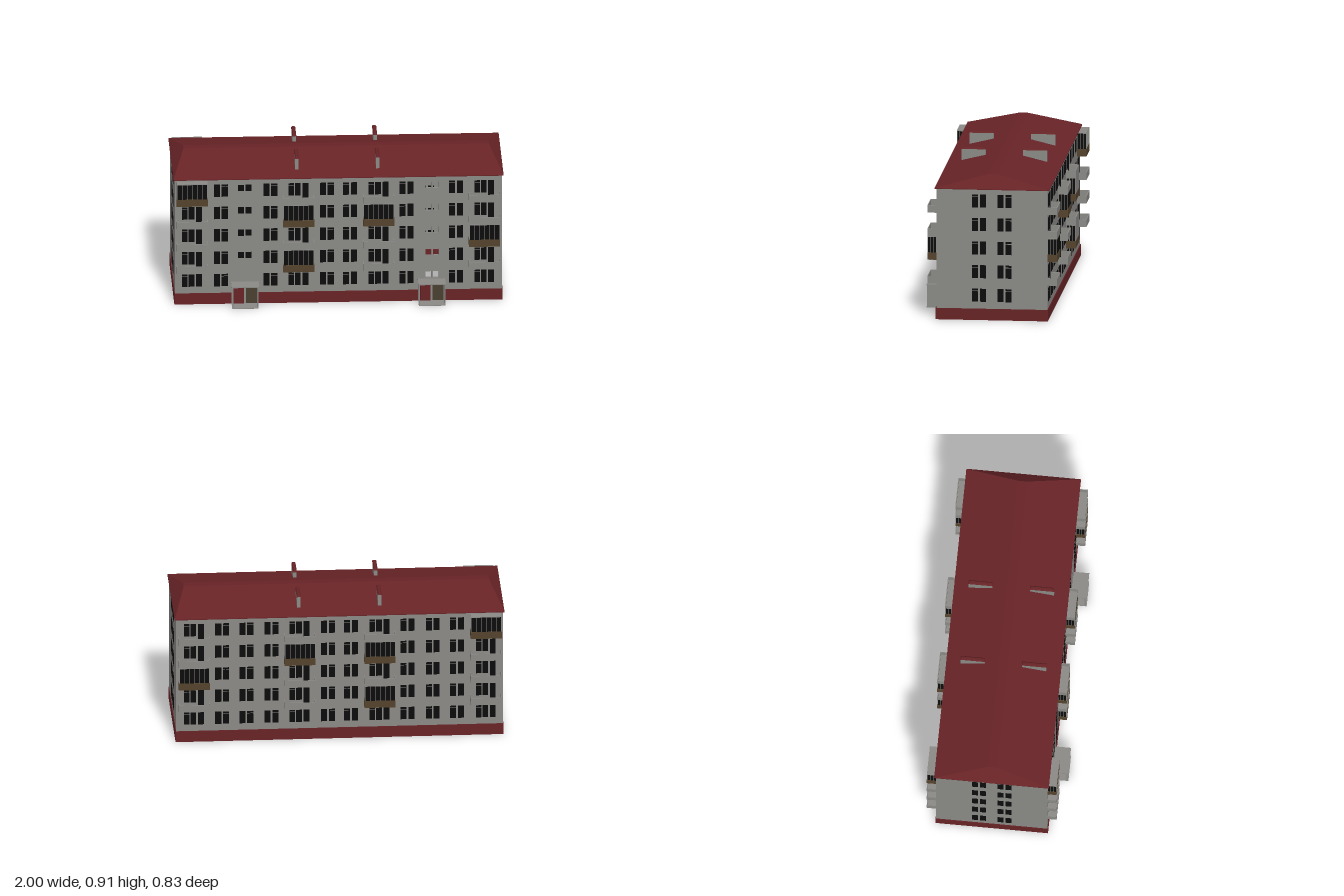
import * as THREE from 'three';

const mat = (name, color) => Object.assign(new THREE.MeshStandardMaterial({ color }), { name });
const M = {
  wall: mat('wall grey', 0x8a8986),
  red: mat('roof red', 0x672326),
  glass: mat('dark glass', 0x0c0c0c),
  brown: mat('balcony brown', 0x54432c),
  door: mat('door brown', 0x4a3f31),
};

const T = 0.012; // wall thickness
const FLOOR = 0.1455; // storey height
const Z_FRONT = 0.315, Z_BACK = -0.36, Z_MID = (Z_FRONT + Z_BACK) / 2;
const X_WALL = 0.99;

// Box given by its extents on each axis
function box(parent, name, material, [x0, x1], [y0, y1], [z0, z1]) {
  const m = new THREE.Mesh(new THREE.BoxGeometry(x1 - x0, y1 - y0, z1 - z0), material);
  m.position.set((x0 + x1) / 2, (y0 + y1) / 2, (z0 + z1) / 2);
  m.name = name;
  parent.add(m);
  return m;
}

// Move the top corners of a box inwards to the given extents
function taper(mesh, [x0, x1], [z0, z1]) {
  const p = mesh.geometry.attributes.position;
  for (let i = 0; i < p.count; i++) {
    if (p.getY(i) < 0) continue;
    p.setX(i, (p.getX(i) > 0 ? x1 : x0) - mesh.position.x);
    p.setZ(i, (p.getZ(i) > 0 ? z1 : z0) - mesh.position.z);
  }
  mesh.geometry.computeVertexNormals();
}

// Wall sheet facing local +z, outer face at z = 0, with rectangular holes
function wall(parent, half, holes = []) {
  const rect = (S, x0, x1, y0, y1) => {
    const s = new S();
    s.moveTo(x0, y0).lineTo(x1, y0).lineTo(x1, y1).lineTo(x0, y1).closePath();
    return s;
  };
  const shape = rect(THREE.Shape, -half, half, 0.06, 0.81);
  for (const h of holes) shape.holes.push(rect(THREE.Path, ...h));
  const m = new THREE.Mesh(new THREE.ExtrudeGeometry(shape, { depth: T, bevelEnabled: false }), M.wall);
  m.position.z = -T;
  m.name = 'wall';
  parent.add(m);
}

// One glass pane showing on both faces of the wall
const pane = (g, x0, x1, y0, y1) => box(g, 'windowPane', M.glass, [x0, x1], [y0, y1], [-T - 0.002, 0.002]);

// Two-pane window; the pane on the given side has a transom
function pairWindow(g, x, y, side) {
  for (const s of [-1, 1]) {
    const a = x + s * 0.0235 - 0.0185, b = a + 0.037;
    if (s === side) {
      pane(g, a, b, y, y + 0.064);
      pane(g, a, b, y + 0.068, y + 0.08);
    } else pane(g, a, b, y, y + 0.08);
  }
}

// Balcony window: pair of panes plus a door
function balconyWindow(g, x, y, hasDoor) {
  pane(g, x - 0.06, x - 0.027, y, y + 0.064);
  pane(g, x - 0.06, x - 0.027, y + 0.068, y + 0.08);
  pane(g, x - 0.021, x + 0.014, y, y + 0.08);
  pane(g, x + 0.024, x + 0.06, hasDoor ? y - 0.033 : y, y + 0.08);
}

function balcony(parent, x, k, depth, glazed) {
  const g = new THREE.Group();
  g.name = glazed ? 'glazedBalcony' : 'openBalcony';
  g.position.set(x, 0.217 + FLOOR * k, 0);
  parent.add(g);
  const w = 0.0925, t = 0.004, h = 0.046, panel = glazed ? M.brown : M.wall;
  box(g, 'slab', M.wall, [-w, w], [0, 0.006], [0, depth]);
  box(g, 'frontPanel', panel, [-w, w], [0.001, h], [depth - t, depth + 0.001]);
  for (const s of [-1, 1]) {
    const e = s * w;
    box(g, 'sidePanel', panel, [e - t / 2, e + t / 2], [0.001, h], [0, depth]);
  }
  if (!glazed) return;
  const top = FLOOR - 0.005;
  box(g, 'glazing', M.glass, [-w + 0.002, w - 0.002], [h, top], [0.003, depth - 0.002]);
  box(g, 'glazingRoof', M.wall, [-w, w], [top, top + 0.004], [0, depth]);
  // Frame bars on the front and the two sides
  for (let i = 0; i <= 6; i++) {
    const bx = -w + 0.002 + (i / 6) * (2 * w - 0.004);
    box(g, 'mullion', M.wall, [bx - 0.0015, bx + 0.0015], [h, top], [depth - 0.004, depth]);
  }
  for (const s of [-1, 1]) for (let i = 0; i <= 3; i++) {
    const bz = 0.002 + (i / 3) * (depth - 0.004);
    box(g, 'sideMullion', M.wall, [s * (w - 0.001) - 0.0015, s * (w - 0.001) + 0.0015], [h, top], [bz - 0.0015, bz + 0.0015]);
  }
}

// Entrance porch with canopy, post, side screen and double doors
function porch(parent, x) {
  const g = new THREE.Group();
  g.name = 'porch';
  g.position.x = x;
  parent.add(g);
  const z0 = Z_FRONT, z1 = 0.41;
  box(g, 'canopy', M.wall, [-0.083, 0.083], [0.135, 0.141], [z0, z1]);
  box(g, 'step', M.wall, [-0.08, 0.08], [0, 0.004], [z0, z1]);
  box(g, 'sideScreen', M.wall, [0.075, 0.08], [0, 0.135], [z0 + 0.01, z1 - 0.005]);
  box(g, 'post', M.wall, [-0.079, -0.073], [0, 0.135], [z1 - 0.012, z1 - 0.005]);
  box(g, 'doorSurround', M.wall, [-0.08, 0.08], [0, 0.135], [z0, z0 + 0.008]);
  box(g, 'redDoor', M.red, [-0.068, -0.005], [0.004, 0.118], [z0, z0 + 0.012]);
  box(g, 'brownDoor', M.door, [0.006, 0.074], [0.004, 0.118], [z0, z0 + 0.012]);
}

export function createModel() {
  const root = new THREE.Group();
  root.name = 'apartmentBlock';
  const facade = (name, x, z, ry) => {
    const g = new THREE.Group();
    g.name = name;
    g.position.set(x, 0, z);
    g.rotation.y = ry;
    root.add(g);
    return g;
  };

  // Plinth ring, open inside
  const bx = 0.994, bz0 = -0.364, bz1 = 0.32, bt = 0.03;
  box(root, 'plinthFront', M.red, [-bx, bx], [0, 0.07], [bz1 - bt, bz1]);
  box(root, 'plinthBack', M.red, [-bx, bx], [0, 0.07], [bz0, bz0 + bt]);
  for (const s of [-1, 1]) {
    const c = s * (bx - bt / 2);
    box(root, 'plinthSide', M.red, [c - bt / 2, c + bt / 2], [0, 0.07], [bz0 + bt, bz1 - bt]);
  }

  // Long facades: windows, stairwell lights and balconies
  const glazedFloors = { '-0.887': [3], '-0.2425': [0, 2], '0.2425': [2], '0.883': [1] };
  const holes = [];
  for (let k = 0; k < 5; k++) for (const s of [-1, 1]) {
    const c = 0.567 + s * 0.0225;
    holes.push([c - 0.018, c + 0.018, 0.148 + FLOOR * k, 0.188 + FLOOR * k]);
  }
  for (const front of [true, false]) {
    const dir = front ? 1 : -1;
    const g = facade(front ? 'frontFacade' : 'backFacade', 0, front ? Z_FRONT : Z_BACK, front ? 0 : Math.PI);
    wall(g, X_WALL, front ? holes : []);
    const columns = front ? [0.07, 0.412, 0.712] : [0.07, 0.412, 0.565, 0.712];
    for (let k = 0; k < 5; k++) {
      const y = 0.113 + FLOOR * k;
      for (const c of columns) for (const s of [-1, 1]) pairWindow(g, s * c, y, -s);
      for (const key in glazedFloors) balconyWindow(g, dir * Number(key), y, k > 0);
      if (front && k > 0) for (const s of [-1, 1]) {
        const c = -0.567 + s * 0.0225;
        pane(g, c - 0.018, c + 0.018, y + 0.035, y + 0.075);
      }
    }
    for (const key in glazedFloors) for (let k = 0; k < 4; k++)
      balcony(g, dir * Number(key), k, front ? 0.055 : 0.058, glazedFloors[key].includes(k));
  }

  // End walls
  for (const s of [-1, 1]) {
    const g = facade(s > 0 ? 'leftEnd' : 'rightEnd', s * X_WALL, Z_MID, s * Math.PI / 2);
    wall(g, (Z_FRONT - Z_BACK) / 2 - 0.0005);
    for (let k = 0; k < 5; k++) for (const e of [-1, 1]) pairWindow(g, e * 0.0775, 0.113 + FLOOR * k, e);
  }

  for (const x of [-0.567, 0.563]) porch(root, x);

  // Hipped roof with a thin eaves board
  box(root, 'eaves', M.red, [-1, 1], [0.806, 0.811], [-0.372, 0.325]);
  const roof = box(root, 'roof', M.red, [-1, 1], [0.811, 0.89], [-0.372, 0.325]);
  taper(roof, [-0.925, 0.925], [-0.05, 0.003]);

  // Ventilation stacks with sloped caps
  for (const x of [-0.248, 0.242]) for (const [z0, z1] of [[0.09, 0.237], [-0.285, -0.137]]) {
    box(root, 'ventStack', M.wall, [x - 0.011, x + 0.011], [0.82, 0.902], [z0, z1]);
    const cap = box(root, 'ventCap', M.red, [x - 0.013, x + 0.013], [0.902, 0.911], [z0 - 0.001, z1 + 0.001]);
    taper(cap, [x - 0.006, x + 0.006], [z0 + 0.006, z1 - 0.006]);
  }
  return root;
}
